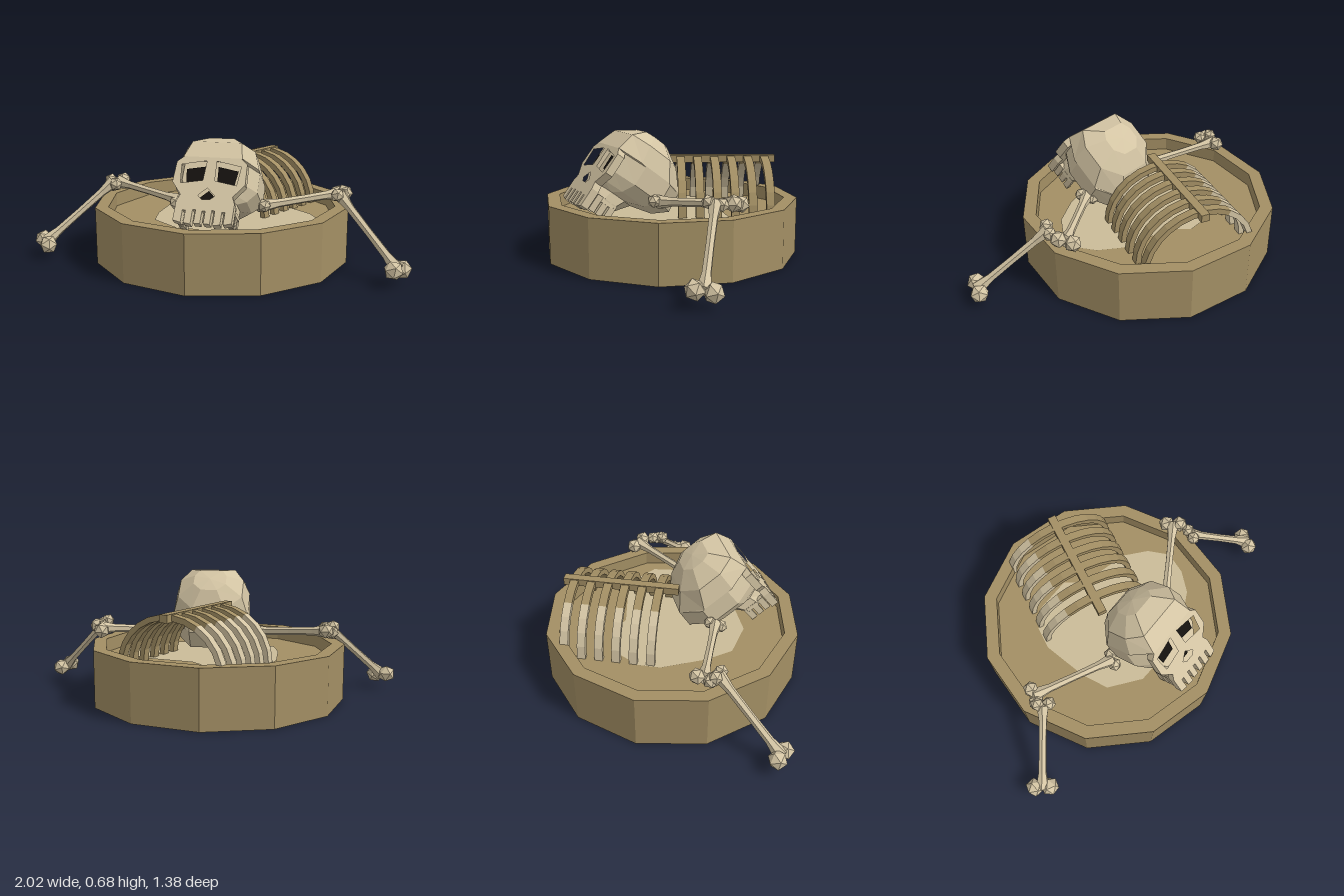
import * as THREE from 'three';

const flat = (name, color) => {
  const m = new THREE.MeshStandardMaterial({ color, flatShading: true });
  m.name = name;
  return m;
};

export function createModel() {
  const root = new THREE.Group();
  root.name = 'skeletonInBasin';
  const earth = flat('earth brown', 0xa38f64);
  const bone = flat('bone', 0xd3c4a3);
  const dust = flat('pale dust', 0xcbbc98);
  const black = flat('socket black', 0x14110e);

  const add = (parent, name, geo, mat, x = 0, y = 0, z = 0) => {
    const m = new THREE.Mesh(geo, mat);
    m.name = name;
    m.position.set(x, y, z);
    parent.add(m);
    return m;
  };
  const vecs = (pts) => pts.map(([x, y]) => new THREE.Vector2(x, y));

  // Twelve-sided basin with a sunken floor
  const profile = [[0, 0], [0.69, 0], [0.69, 0.305], [0.62, 0.305], [0.62, 0.23], [0, 0.23]];
  add(root, 'basin', new THREE.LatheGeometry(vecs(profile), 12), earth, -0.018);

  // Pale patch on the floor, points are x and z
  const patch = [[-0.2, -0.33], [0, -0.33], [0.08, -0.24], [0.35, -0.17], [0.46, -0.08], [0.52, 0.03],
    [0.48, 0.15], [0.4, 0.25], [0.25, 0.33], [0.05, 0.38], [-0.16, 0.37], [-0.32, 0.25], [-0.35, 0.1],
    [-0.35, -0.15], [-0.3, -0.26]];
  const patchGeo = new THREE.ShapeGeometry(new THREE.Shape(vecs(patch.map(([x, z]) => [x, -z]))));
  add(root, 'dustPatch', patchGeo.rotateX(-Math.PI / 2), dust, 0, 0.235);

  // Rib cage: arches along a spine
  const cage = new THREE.Group();
  cage.name = 'ribCage';
  cage.position.set(0.15, 0, -0.49);
  cage.rotation.y = -0.418;
  root.add(cage);
  const arc = (from, to, steps) => {
    const outer = [], inner = [];
    for (let i = 0; i <= steps; i++) {
      const a = THREE.MathUtils.degToRad(from + ((to - from) * i) / steps);
      outer.push([0.312 * Math.cos(a), 0.23 + 0.292 * Math.sin(a)]);
      inner.unshift([0.284 * Math.cos(a), 0.23 + 0.262 * Math.sin(a)]);
    }
    const g = new THREE.ExtrudeGeometry(new THREE.Shape(vecs([...outer, ...inner])), { depth: 0.044, bevelEnabled: false });
    return g.translate(0, 0, -0.022);
  };
  const ribTop = arc(0, 122, 9), ribTip = arc(122, 180, 4);
  for (let i = 0; i < 6; i++) {
    add(cage, 'rib', ribTop, earth, 0, 0, i * 0.092);
    add(cage, 'paleRibEnd', ribTip, bone, 0, 0, i * 0.092);
  }
  add(cage, 'spine', new THREE.BoxGeometry(0.045, 0.04, 0.62), earth, 0, 0.506, 0.25);

  // Skull, leaning back: cross-sections are [height, back, front, half width]
  const skull = new THREE.Group();
  skull.name = 'skull';
  skull.position.set(0.037, 0.45, 0.25);
  skull.rotation.x = -0.6435;
  root.add(skull);
  const rows = [[0.215, -0.07, 0.09, 0.09], [0.15, -0.155, 0.17, 0.18], [0.05, -0.24, 0.2, 0.212],
    [0.045, -0.24, 0.16, 0.212], [-0.06, -0.25, 0.16, 0.212], [-0.12, -0.18, 0.16, 0.17],
    [-0.15, -0.06, 0.16, 0.13], [-0.22, 0, 0.16, 0.14]];
  const pos = [], idx = [];
  for (const [u, b, f, w] of rows) {
    const at = (t) => b + (f - b) * t;
    const side = [[0.7 * w, f], [w, at(0.72)], [w, at(0.3)], [0.5 * w, b]];
    for (const [x, z] of side) pos.push(x, u, z);
    for (const [x, z] of side.reverse()) pos.push(-x, u, z);
  }
  const last = (rows.length - 1) * 8, topC = rows.length * 8, botC = topC + 1;
  pos.push(0, 0.225, 0.01, 0, -0.22, 0.08);
  for (let j = 0; j < 8; j++) {
    const k = (j + 1) % 8;
    idx.push(topC, j, k, botC, last + k, last + j);
    for (let r = 0; r < last; r += 8) idx.push(r + j, r + 8 + j, r + 8 + k, r + j, r + 8 + k, r + k);
  }
  const headGeo = new THREE.BufferGeometry();
  headGeo.setAttribute('position', new THREE.Float32BufferAttribute(pos, 3));
  headGeo.setIndex(idx);
  headGeo.computeVertexNormals();
  add(skull, 'cranium', headGeo, bone);

  // Face plate with eye and nose openings and notched teeth
  const half = [[0.145, 0.05], [0.178, 0.02], [0.182, -0.09], [0.13, -0.155], [0.145, -0.19], [0.145, -0.29],
    [0.105, -0.3], [0.105, -0.235], [0.09, -0.235], [0.09, -0.3], [0.055, -0.305], [0.055, -0.23],
    [0.04, -0.23], [0.04, -0.3], [0.008, -0.3], [0.008, -0.235]];
  const mirror = (pts) => pts.map(([x, y]) => [-x, y]).reverse();
  const face = new THREE.Shape(vecs([...half, ...mirror(half)]));
  const eye = [[0.025, 0.03], [0.15, 0.005], [0.14, -0.095], [0.03, -0.075]];
  const nose = [[0, -0.115], [0.042, -0.155], [0.02, -0.175], [-0.02, -0.175], [-0.042, -0.155]];
  const holes = [eye, mirror(eye), nose];
  face.holes = holes.map((h) => new THREE.Path(vecs(h)));
  add(skull, 'face', new THREE.ExtrudeGeometry(face, { depth: 0.042, bevelEnabled: false }), bone, 0, 0, 0.158);
  const pupil = [[0.028, 0.016], [0.132, -0.004], [0.122, -0.08], [0.034, -0.068]];
  for (const h of [pupil, mirror(pupil), nose]) {
    add(skull, 'darkSocket', new THREE.ShapeGeometry(new THREE.Shape(vecs(h))), black, 0, 0, 0.166);
  }
  // Side teeth
  for (const s of [-1, 1]) {
    for (const z of [0.135, 0.09, 0.045]) {
      add(skull, 'sideTooth', new THREE.BoxGeometry(0.025, 0.09, 0.034), bone, s * 0.125, -0.24, z);
    }
  }

  // Limb bones: flared six-sided shaft with a pair of knobs at each end
  const limb = (name, a, b, knobA, knobB) => {
    const g = new THREE.Group();
    g.name = name;
    const start = new THREE.Vector3(...a), dir = new THREE.Vector3(...b).sub(start);
    const len = dir.length();
    g.position.copy(start);
    // local x stays level, so knob pairs lie side by side
    const y = dir.normalize();
    const x = new THREE.Vector3(0, 1, 0).cross(y).normalize();
    g.quaternion.setFromRotationMatrix(new THREE.Matrix4().makeBasis(x, y, x.clone().cross(y)));
    const shaft = [[0, 0], [0.036, 0], [0.023, 0.09], [0.021, len / 2], [0.023, len - 0.09], [0.038, len], [0, len]];
    add(g, 'shaft', new THREE.LatheGeometry(vecs(shaft), 6), bone);
    for (const [h, r] of [[0, knobA], [len, knobB]]) {
      for (const s of [-1, 1]) {
        const k = add(g, 'knob', new THREE.IcosahedronGeometry(r, 0), bone, s * r * 0.8, h, s * 0.008);
        k.rotation.set(0.4 * s, 0.5, 0.3);
      }
    }
    root.add(g);
  };
  limb('leftUpperArm', [0.25, 0.335, 0.2], [0.63, 0.372, -0.04], 0.036, 0.045);
  limb('leftForearm', [0.635, 0.385, 0.08], [0.945, 0.082, 0.3], 0.037, 0.05);
  limb('rightUpperArm', [-0.2, 0.335, 0.19], [-0.62, 0.372, 0], 0.036, 0.043);
  limb('rightForearm', [-0.625, 0.385, 0.07], [-0.935, 0.082, 0.3], 0.037, 0.05);

  return root;
}
